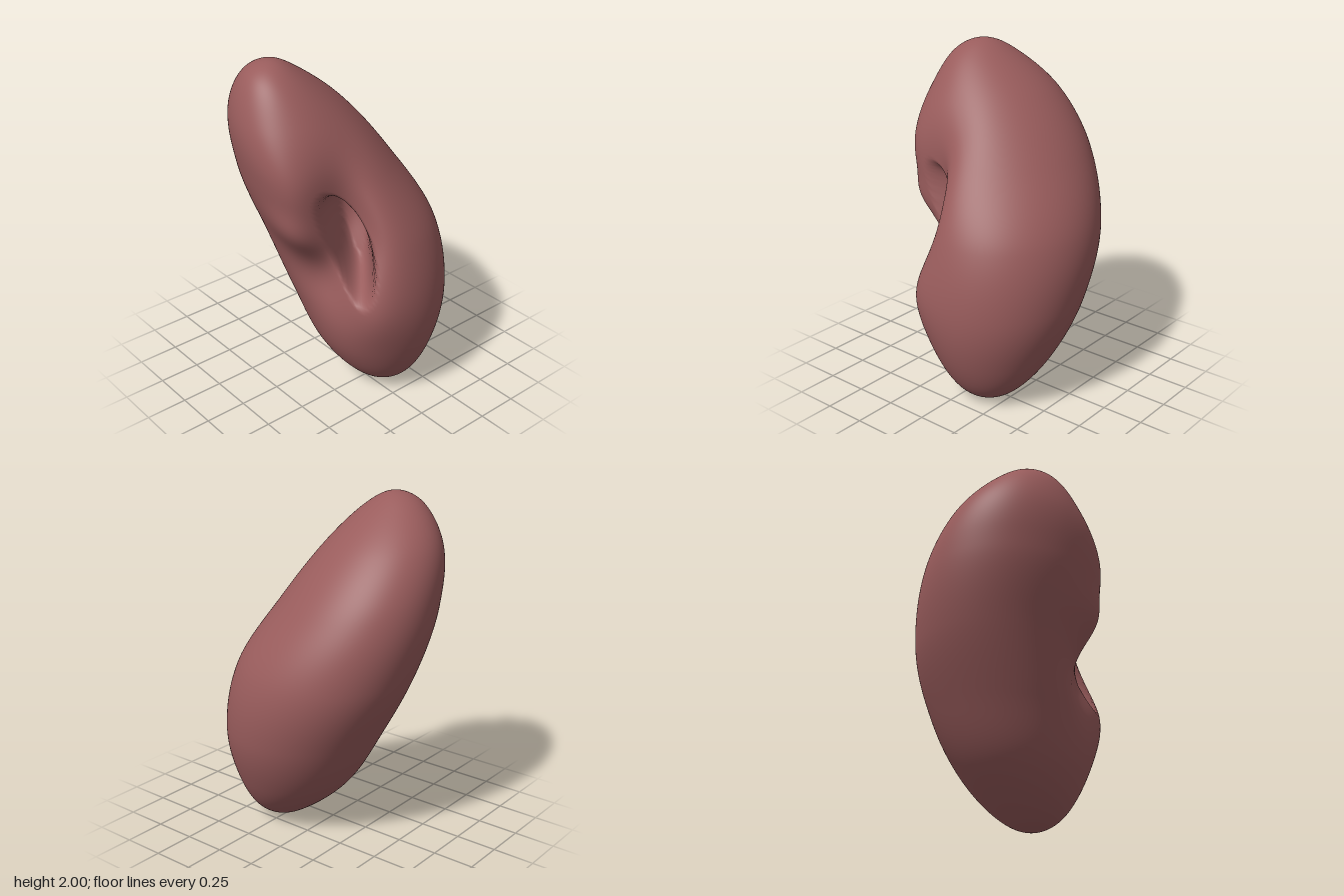
import * as THREE from 'three';
import { mergeVertices } from 'three/addons/utils/BufferGeometryUtils.js';

// Horizontal sections from the bottom pole to the top pole, at equal steps of latitude:
// [centre x, centre z, half width x, half width z]
const SECTIONS = [
  [0.12, 0.30, 0.48, 0.45],
  [0.115, 0.28, 0.49, 0.47],
  [0.108, 0.21, 0.495, 0.515],
  [0.11, 0.13, 0.495, 0.53],
  [0.06, 0.008, 0.50, 0.548],
  [-0.085, -0.12, 0.503, 0.535],
  [-0.217, -0.195, 0.488, 0.52],
  [-0.315, -0.205, 0.44, 0.48],
  [-0.33, -0.20, 0.42, 0.46],
];

const spline = (a, b) => new THREE.CatmullRomCurve3(
  SECTIONS.map((s) => new THREE.Vector3(s[a], 0, s[b])), false, 'catmullrom', 0.5);

// Smooth bump of height 1 around zero
const bell = (a, b) => Math.exp(-a * a - b * b);

// Depth of the hollow (positive) and height of the swellings (negative) on the inner side
function relief(across, y) {
  const dent = 0.175 * bell((across - 0.12) / 0.44, (y - 0.06 - 0.55 * across) / 0.27);
  const rearDent = 0.07 * bell((across + 0.42) / 0.3, (y + 0.2) / 0.2);
  const q = Math.hypot((across - 0.06 - 0.25 * y) / 0.24, (y - 0.02) / 0.34);
  const pocket = 0.3 * (1 - THREE.MathUtils.smoothstep(q, 0.5, 1));
  const upperLobe = 0.055 * bell((across + 0.25) / 0.45, (y - 0.45) / 0.32);
  const rearLip = 0.06 * bell((across + 0.5) / 0.28, (y - 0.12) / 0.15);
  const lowerLobe = 0.05 * bell((across - 0.12) / 0.45, (y + 0.36) / 0.25);
  return dent + rearDent + pocket - upperLobe - rearLip - lowerLobe;
}

function bodyGeometry() {
  let geo = new THREE.SphereGeometry(1, 192, 144);
  geo.deleteAttribute('normal');
  geo.deleteAttribute('uv');
  geo = mergeVertices(geo, 1e-5);

  const centres = spline(0, 1);
  const sizes = spline(2, 3);
  const pos = geo.attributes.position;
  const p = new THREE.Vector3();
  const c = new THREE.Vector3();
  const w = new THREE.Vector3();

  for (let i = 0; i < pos.count; i++) {
    p.fromBufferAttribute(pos, i);
    const t = 1 - Math.acos(THREE.MathUtils.clamp(p.y, -1, 1)) / Math.PI;
    centres.getPoint(t, c);
    sizes.getPoint(t, w);

    // The inner side faces -x and +z; relief moves it in or out along that direction
    const facing = (p.z - p.x) * Math.SQRT1_2;
    const across = (p.x + p.z) * Math.SQRT1_2;
    const push = THREE.MathUtils.smoothstep(facing, 0, 0.5) * relief(across, p.y) * Math.SQRT1_2;

    // Sections are a little narrower across than along the inner direction
    const k = 0.015 + 0.045 * THREE.MathUtils.smoothstep(p.y, 0, 0.5);
    pos.setXYZ(i,
      c.x + w.x * (p.x - k * p.z) + push,
      1 + p.y,
      c.z + w.z * (p.z - k * p.x) - push);
  }
  geo.computeVertexNormals();
  return geo;
}

export function createModel() {
  const group = new THREE.Group();
  group.name = 'kidney';
  const body = new THREE.Mesh(bodyGeometry(), new THREE.MeshStandardMaterial({ color: 0x995c5c }));
  body.name = 'kidneyBody';
  group.add(body);
  return group;
}
